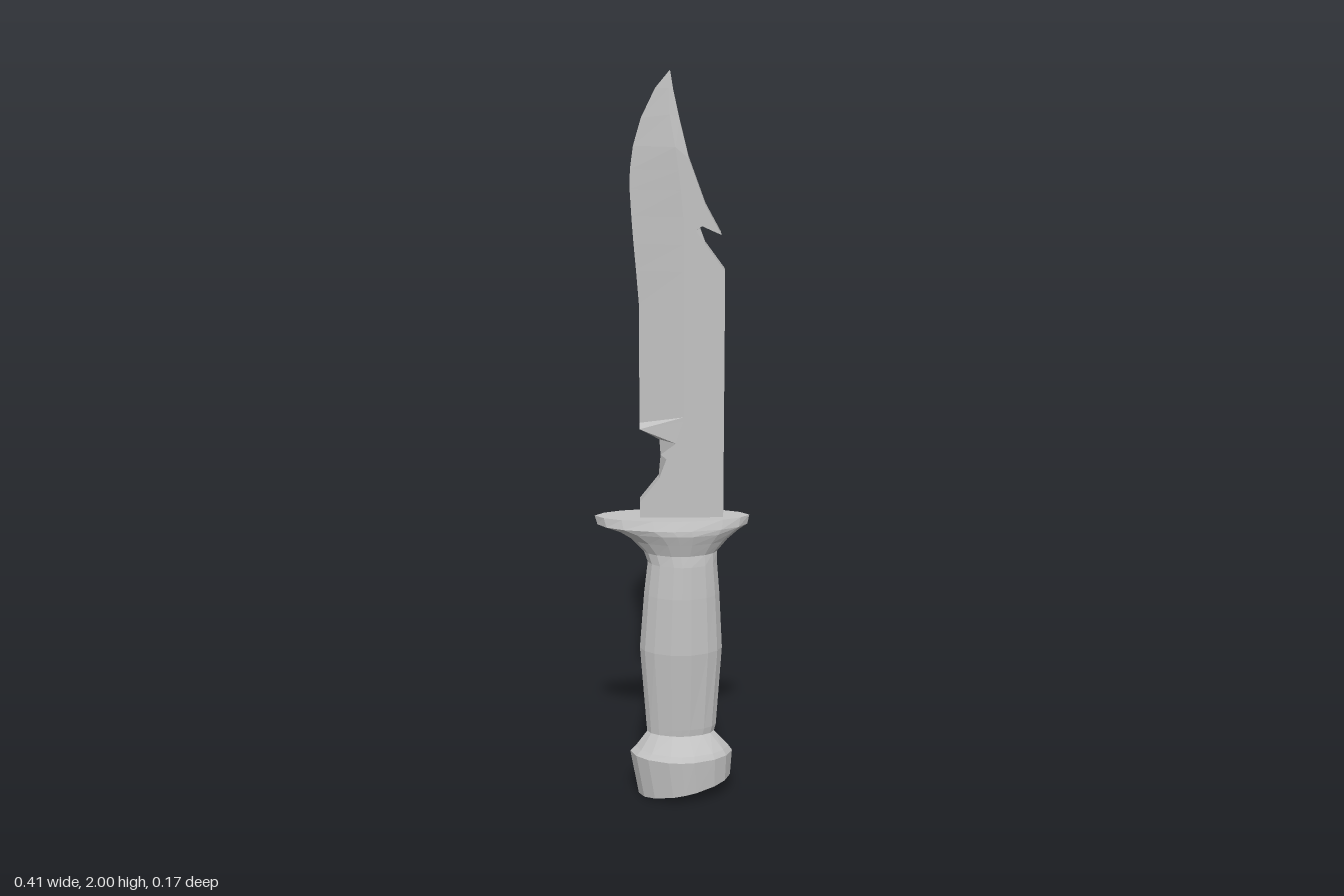
import * as THREE from 'three';

const steel = new THREE.MeshStandardMaterial({ color: 0xc2c2c2, flatShading: true });
steel.name = 'grey steel';

// Skin a stack of rings (each counterclockwise seen from above), capped at both ends
function loft(name, rings) {
  const pos = [];
  const tri = (...pts) => pts.forEach((p) => pos.push(...p));
  const n = rings[0].length;
  for (let r = 0; r < rings.length - 1; r++) {
    const a = rings[r], b = rings[r + 1];
    for (let i = 0; i < n; i++) {
      const j = (i + 1) % n;
      tri(a[i], a[j], b[j]);
      tri(a[i], b[j], b[i]);
    }
  }
  const bottom = rings[0], top = rings[rings.length - 1];
  for (let i = 1; i < n - 1; i++) {
    tri(bottom[0], bottom[i + 1], bottom[i]);
    tri(top[0], top[i], top[i + 1]);
  }
  const geometry = new THREE.BufferGeometry();
  geometry.setAttribute('position', new THREE.Float32BufferAttribute(pos, 3));
  geometry.computeVertexNormals();
  const mesh = new THREE.Mesh(geometry, steel);
  mesh.name = name;
  return mesh;
}

// Pointed oval ring from x0 to x1 with half depth hz, optionally sloping along x
function oval(y, x0, x1, hz, slope = 0) {
  const steps = [-1, -0.88, -0.65, -0.25, 0, 0.25, 0.65, 0.88, 1];
  const point = (t, side) => {
    const x = (x0 + x1) / 2 + (t * (x1 - x0)) / 2;
    return [x, y + slope * x, side * hz * Math.pow(1 - t * t, 0.6)];
  };
  return [
    ...steps.map((t) => point(t, 1)),
    ...steps.slice(1, -1).reverse().map((t) => point(t, -1)),
  ];
}

// Blade section: cutting edge, ridge, spine; half thicknesses; front skew of the notches
function section([ex, ey, rx, ry, sx, sy, te, t, eSkew = 0, sSkew = 0]) {
  return [
    [ex + eSkew, ey, te], [rx, ry, t], [sx + sSkew, sy, t],
    [sx, sy, -t], [rx, ry, -t], [ex, ey, -te],
  ];
}

export function createModel() {
  const group = new THREE.Group();
  group.name = 'knife';

  // Pommel with a slanted base
  group.add(loft('pommel', [
    oval(0.02, -0.092, 0.16, 0.075, 0.22),
    oval(0.13, -0.115, 0.165, 0.083),
    oval(0.145, -0.1, 0.155, 0.074),
    oval(0.19, -0.068, 0.115, 0.04),
  ]));

  // Swelling grip
  group.add(loft('grip', [
    oval(0.19, -0.068, 0.115, 0.04),
    oval(0.21, -0.07, 0.12, 0.042),
    oval(0.44, -0.087, 0.135, 0.06),
    oval(0.6, -0.075, 0.127, 0.056),
    oval(0.69, -0.065, 0.12, 0.05),
    oval(0.72, -0.075, 0.12, 0.045),
  ]));

  // Flared guard
  group.add(loft('guard', [
    oval(0.72, -0.075, 0.12, 0.045),
    oval(0.755, -0.107, 0.148, 0.055),
    oval(0.782, -0.15, 0.178, 0.063),
    oval(0.797, -0.198, 0.2, 0.062),
    oval(0.822, -0.205, 0.205, 0.051),
  ]));

  // Blade: base, finger notch, bevelled edge, spine hook and clipped tip
  const T = 0.018;
  group.add(loft('blade', [
    [-0.085, 0.8, 0.03, 0.8, 0.135, 0.8, T, T],
    [-0.085, 0.865, 0.03, 0.865, 0.135, 0.865, T, T],
    [-0.035, 0.93, 0.03, 0.93, 0.135, 0.93, T, T],
    [-0.03, 0.985, 0.03, 0.985, 0.135, 0.985, T, T, 0.015],
    [-0.033, 1.028, 0.03, 1.04, 0.135, 1.03, T, T, 0.043],
    [-0.085, 1.066, 0.03, 1.09, 0.135, 1.07, 0.012, T],
    [-0.085, 1.08, 0.03, 1.1, 0.135, 1.08, 0, T],
    [-0.085, 1.4, 0.03, 1.4, 0.135, 1.4, 0, T],
    [-0.092, 1.49, 0.03, 1.49, 0.135, 1.49, 0, T],
    [-0.098, 1.56, 0.03, 1.56, 0.085, 1.56, 0, T],
    [-0.101, 1.6, 0.03, 1.6, 0.072, 1.595, 0, T, 0, -0.012],
    [-0.103, 1.63, 0.028, 1.63, 0.08, 1.612, 0, T],
    [-0.107, 1.7, 0.022, 1.7, 0.125, 1.585, 0, T],
    [-0.106, 1.75, 0.016, 1.75, 0.085, 1.66, 0, T],
    [-0.098, 1.81, 0.008, 1.81, 0.042, 1.78, 0, T],
    [-0.078, 1.88, -0.006, 1.89, 0.018, 1.88, 0, 0.01],
    [-0.042, 1.955, -0.008, 1.955, 0.003, 1.95, 0, 0.004],
    [-0.005, 2, -0.005, 2, -0.005, 2, 0, 0],
  ].map(section)));

  return group;
}
